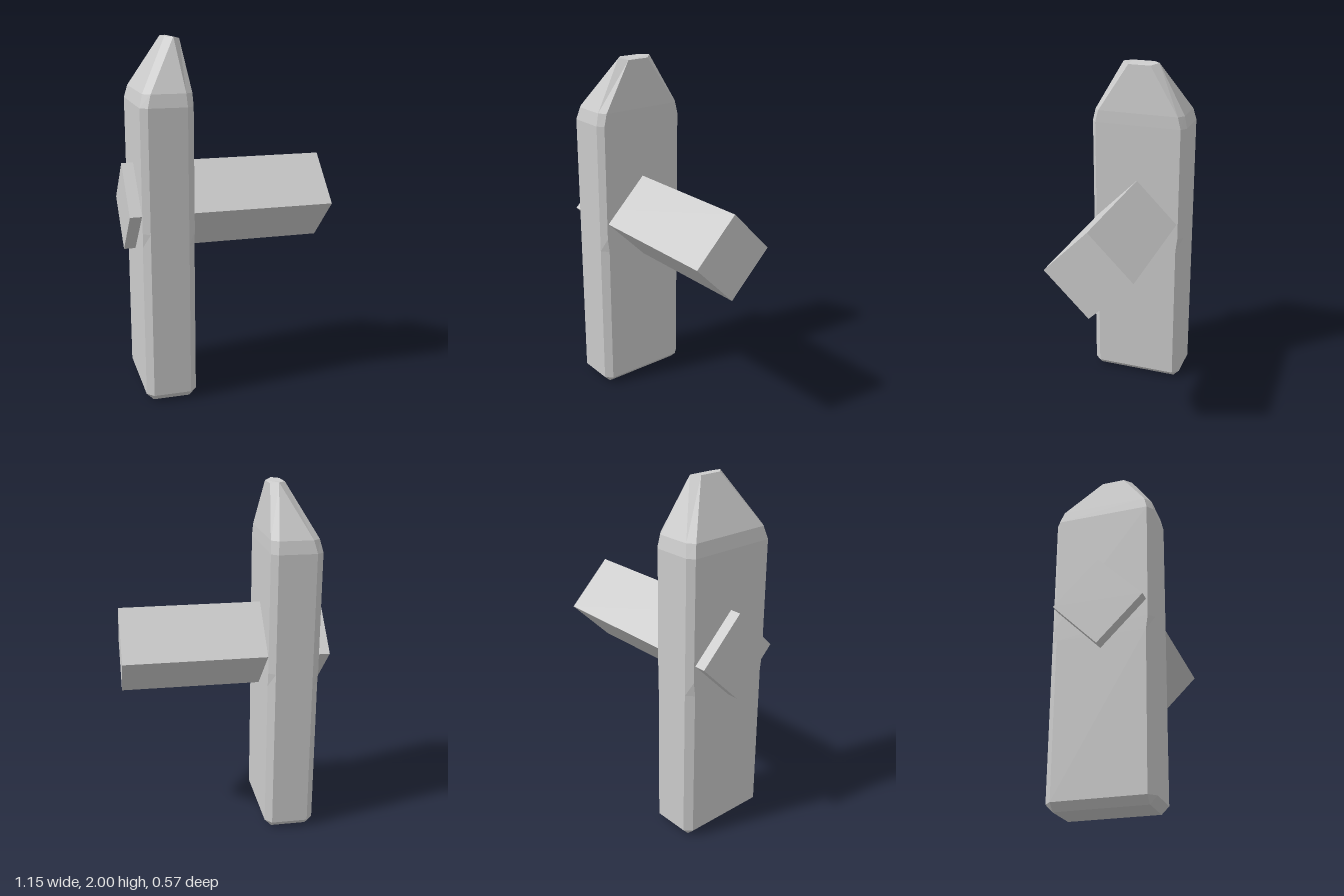
import * as THREE from 'three';

// Chamfered rectangle ring: x0..x1 outer, a0..a1 front/back flat, hz outer depth, iz side flat
function ring([y, x0, x1, a0, a1, hz, iz, yRight = y]) {
  return [
    [x1, yRight, iz], [x1, yRight, -iz], [a1, y, -hz], [a0, y, -hz],
    [x0, y, -iz], [x0, y, iz], [a0, y, hz], [a1, y, hz],
  ].map((p) => new THREE.Vector3(...p));
}

// Skin a stack of rings from bottom to top, with capped ends and no empty triangles
function loft(rings) {
  const pos = [];
  const tri = (a, b, c) => {
    const n = b.clone().sub(a).cross(c.clone().sub(a));
    if (n.length() > 1e-8) for (const v of [a, b, c]) pos.push(v.x, v.y, v.z);
  };
  for (let k = 0; k < rings.length - 1; k++) {
    const lo = rings[k], hi = rings[k + 1], n = lo.length;
    for (let i = 0; i < n; i++) {
      const j = (i + 1) % n;
      tri(lo[i], lo[j], hi[j]);
      tri(lo[i], hi[j], hi[i]);
    }
  }
  const bottom = rings[0], top = rings[rings.length - 1];
  for (let i = 1; i < top.length - 1; i++) {
    tri(bottom[0], bottom[i + 1], bottom[i]);
    tri(top[0], top[i], top[i + 1]);
  }
  const geo = new THREE.BufferGeometry();
  geo.setAttribute('position', new THREE.Float32BufferAttribute(pos, 3));
  geo.computeVertexNormals();
  return geo;
}

export function createModel() {
  const group = new THREE.Group();
  group.name = 'fenceSection';
  const material = new THREE.MeshStandardMaterial({ color: 0xcccccc, flatShading: true });

  // Upright post with chamfered edges and a lopsided pointed tip
  const post = new THREE.Mesh(loft([
    [0, -0.47, -0.265, -0.47, -0.265, 0.245, 0.245],
    [0.04, -0.51, -0.225, -0.472, -0.262, 0.283, 0.245],
    [0.9, -0.51, -0.225, -0.472, -0.262, 0.283, 0.245],
    [0.98, -0.51, -0.225, -0.472, -0.262, 0.283, 0.255],
    [1.65, -0.51, -0.225, -0.472, -0.262, 0.283, 0.255],
    [1.72, -0.492, -0.227, -0.453, -0.266, 0.267, 0.237],
    [2, -0.335, -0.255, -0.295, -0.295, 0.105, 0.065, 1.99],
  ].map(ring)), material);
  post.name = 'post';
  group.add(post);

  // Square rail turned on its edge, passing through the post
  const side = 0.247 * Math.SQRT2;
  const rail = new THREE.Mesh(new THREE.BoxGeometry(1.15, side, side), material);
  rail.name = 'rail';
  rail.position.y = 1.073;
  rail.rotation.x = Math.PI / 4;
  group.add(rail);

  return group;
}
